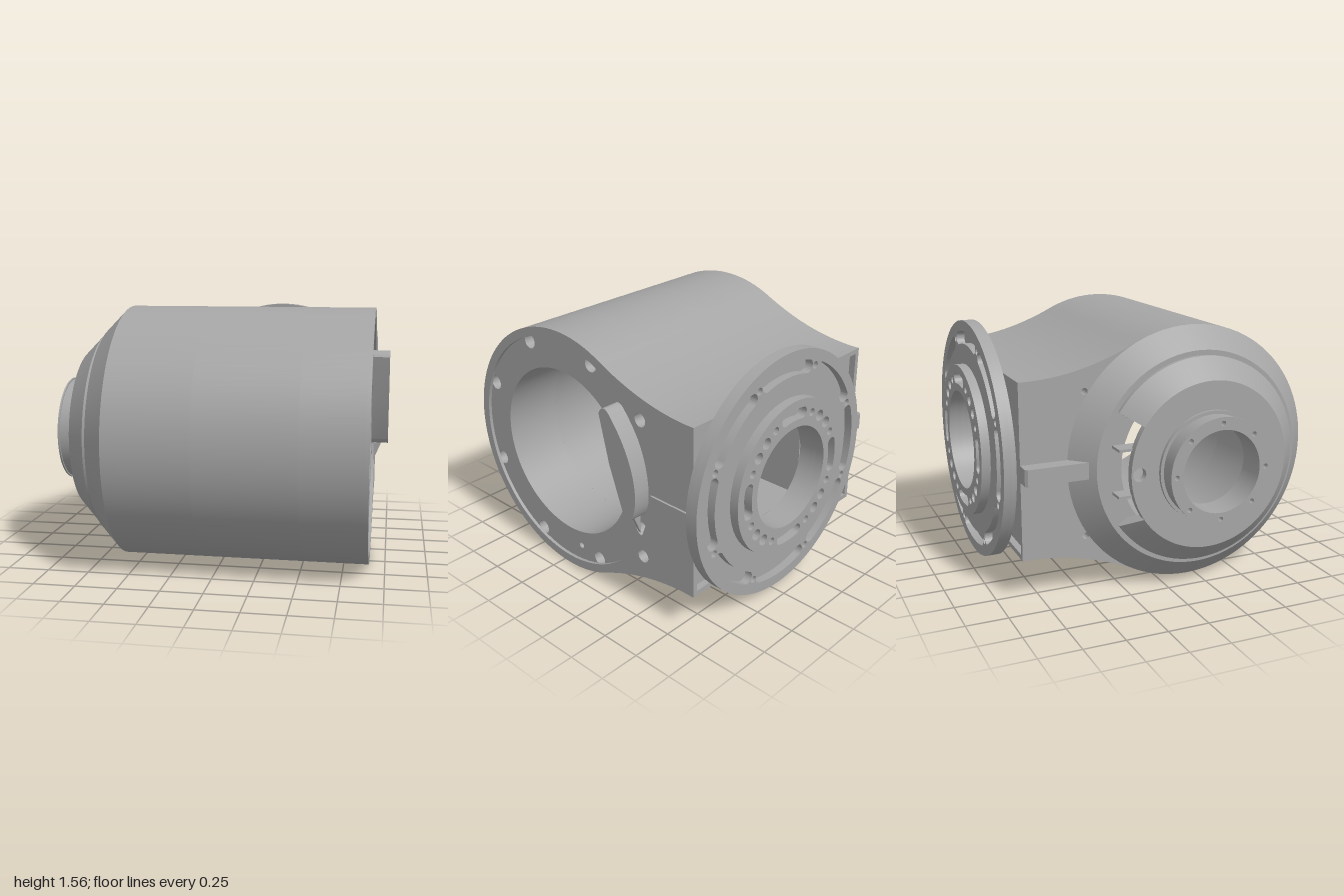
import * as THREE from 'three';
import { toCreasedNormals } from 'three/addons/utils/BufferGeometryUtils.js';

const CY = 0.78, CU = -0.2; // bore axis: height, and u = -z
const TAU = Math.PI * 2;

export function createModel() {
  const model = new THREE.Group();
  model.name = 'jointHousing';
  const metal = new THREE.MeshStandardMaterial({ color: 0xa5a5a5, side: THREE.DoubleSide });
  metal.name = 'castGrey';

  const add = (name, geometry) => {
    const mesh = new THREE.Mesh(toCreasedNormals(geometry, 0.45), metal);
    mesh.name = name;
    model.add(mesh);
    return mesh;
  };
  const circle = (x, y, r) => new THREE.Path().absarc(x, y, r, 0, TAU, false);
  const poly = (pts) => new THREE.Shape(pts.map((p) => new THREE.Vector2(...p)));
  const extrude = (shape, depth) =>
    new THREE.ExtrudeGeometry(shape, { depth, bevelEnabled: false, curveSegments: 40 });
  // Extrude a (u = -z, y) outline along x
  const alongX = (name, shape, x0, x1) =>
    add(name, extrude(shape, x1 - x0).rotateY(Math.PI / 2).translate(x0, 0, 0));
  // Extrude an (x, y) outline along z
  const alongZ = (name, shape, z0, z1, x = 0, y = 0) =>
    add(name, extrude(shape, z1 - z0).translate(x, y, z0));
  const ring = (x, y, outer, inner, holes = []) => {
    const s = new THREE.Shape().absarc(x, y, outer, 0, TAU, false);
    s.holes.push(circle(x, y, inner), ...holes);
    return s;
  };
  const holeCircle = (x, y, R, r, n, offset = 0) =>
    Array.from({ length: n }, (_, i) => {
      const a = offset + (i * TAU) / n;
      return circle(x + R * Math.cos(a), y + R * Math.sin(a), r);
    });
  const arcSlot = (r, w, a0, a1) => new THREE.Path()
    .absarc(0, 0, r + w, a0, a1, false)
    .absarc(r * Math.cos(a1), r * Math.sin(a1), w, a1, a1 + Math.PI, false)
    .absarc(0, 0, r - w, a1, a0, true)
    .absarc(r * Math.cos(a0), r * Math.sin(a0), w, a0 + Math.PI, a0 + TAU, false);

  // Barrel outline flowing into the neck; with a window the bore opens to the back
  const NECK = 0.82, HALF = 0.525, T = 1.108;
  const bodyShape = (boreR, window = 0) => {
    const tu = CU + 0.78 * Math.cos(T), ty = 0.78 * Math.sin(T);
    const s = new THREE.Shape();
    s.moveTo(NECK, CY + HALF);
    s.quadraticCurveTo(0.49, CY + 0.53, tu, CY + ty);
    s.absarc(CU, CY, 0.78, T, TAU - T, false);
    s.quadraticCurveTo(0.49, CY - 0.53, NECK, CY - HALF);
    if (window) {
      const a = Math.asin(window / boreR);
      s.lineTo(NECK, CY - window);
      s.absarc(CU, CY, boreR, -a, a - TAU, true);
      s.lineTo(NECK, CY + window);
    } else s.holes.push(circle(CU, CY, boreR));
    return s;
  };
  const neckHoles = (r) => [circle(0.47, 1.22, r), circle(0.47, 0.35, r)];
  const slit = () => new THREE.Path([[0.54, 0.775], [0.81, 0.775], [0.81, 0.786], [0.54, 0.786]]
    .map((p) => new THREE.Vector2(...p)));

  const inner = bodyShape(0.5);
  inner.holes.push(...neckHoles(0.02));
  alongX('innerBarrel', inner, -0.59, -0.08);
  const middle = bodyShape(0.53, 0.3);
  middle.holes.push(...neckHoles(0.02));
  alongX('windowBarrel', middle, -0.08, 0.52);
  const outer = bodyShape(0.53);
  outer.holes.push(...neckHoles(0.04), slit(), circle(-0.1, 0.16, 0.02),
    ...holeCircle(CU, CY, 0.695, 0.045, 8, Math.PI / 8));
  alongX('outerBarrel', outer, 0.52, 0.885);
  const rim = bodyShape(0.725);
  rim.holes.push(...neckHoles(0.04), slit());
  alongX('barrelRim', rim, 0.885, 0.905);

  // Closed (radius, x) profile turned about the bore axis
  const turn = (name, pts, start = 0, length = TAU) => {
    const place = (g) => g.rotateZ(-Math.PI / 2).translate(0, CY, -CU);
    const profile = [...pts, pts[0]].map((p) => new THREE.Vector2(...p));
    add(name, place(new THREE.LatheGeometry(profile, 80, start, length)));
    if (length < TAU) for (const a of [start, start + length])
      add(name + 'End', place(new THREE.ShapeGeometry(poly(pts)).rotateY(a - Math.PI / 2)));
  };
  turn('barrelChamfer', [[0.65, -0.72], [0.78, -0.59], [0.5, -0.59], [0.5, -0.72]]);
  // Cap wall, left open towards the neck
  const gap = 0.575;
  turn('capWall', [[0.5, -0.865], [0.62, -0.745], [0.62, -0.715], [0.55, -0.715], [0.46, -0.82],
    [0.46, -0.864]], Math.PI + gap, TAU - 2 * gap);

  // Cap floor with counterbored screw holes and a cable hole
  for (const [name, x0, x1, r] of [['capFloor', -0.865, -0.84, 0.02], ['capCounterbores', -0.84, -0.82, 0.043]])
    alongX(name, ring(CU, CY, 0.5, 0.245,
      [...holeCircle(CU, CY, 0.29, r, 8), circle(0.25, CY, 0.04)]), x0, x1);

  // Hub tube
  for (const [name, x0, x1, r] of [['hubCollar', -0.885, -0.865, 0.33], ['hubTube', -0.99, -0.885, 0.31],
    ['hubLip', -1, -0.99, 0.32]])
    alongX(name, ring(CU, CY, r, 0.245, holeCircle(CU, CY, 0.284, 0.015, 8)), x0, x1);

  // Guide ribs in the cap opening
  for (const y of [0.645, 0.92])
    add('guideRib', new THREE.BoxGeometry(0.1, 0.016, 0.2).translate(-0.78, y, -0.26));

  // Neck side rib with a clipped corner
  add('neckRib', extrude(poly([[-0.59, 0.5], [-0.685, 0.48], [-0.685, 0.845], [-0.67, 0.86],
    [-0.59, 0.86]]), 0.1).rotateX(-Math.PI / 2).translate(0, CY - 0.05, 0));

  // Frame around the shallow pocket at the back of the neck
  const rect = (x0, x1, y0, y1) => [[x0, y0], [x1, y0], [x1, y1], [x0, y1]];
  const frame = poly(rect(-0.59, 0.905, CY - HALF, CY + HALF));
  frame.holes.push(poly(rect(-0.56, 0.875, CY - HALF + 0.03, CY + HALF - 0.03)));
  alongZ('neckFrame', frame, -0.86, -0.82);

  // Round mounting flange
  const FX = 0.22, FY = 0.785;
  alongZ('flangeCollar', ring(0, 0, 0.47, 0.31), -0.86, -0.82, FX, FY);
  const screws = () => holeCircle(0, 0, 0.65, 0.022, 8, Math.PI / 8);
  alongZ('flangePlate', ring(0, 0, 0.745, 0.31, screws()), -0.885, -0.86, FX, FY);
  const outerSlots = Array.from({ length: 8 }, (_, i) =>
    arcSlot(0.64, 0.04, (i * TAU) / 8 - 0.29, (i * TAU) / 8 + 0.29));
  alongZ('flangeSlots', ring(0, 0, 0.745, 0.31, [...outerSlots, ...screws()]), -0.935, -0.885, FX, FY);
  const innerCuts = [];
  for (let i = 0; i < 4; i++) {
    const a = (i * TAU) / 4;
    innerCuts.push(arcSlot(0.39, 0.034, a - 0.2, a + 0.2));
    for (let k = 0; k < 4; k++) {
      const b = a + 0.43 + k * 0.236;
      innerCuts.push(circle(0.39 * Math.cos(b), 0.39 * Math.sin(b), k % 3 ? 0.034 : 0.024));
    }
  }
  alongZ('pilotRing', ring(0, 0, 0.475, 0.31, innerCuts), -0.99, -0.935, FX, FY);

  // Cable guard on the open end
  const guard = new THREE.Shape();
  guard.moveTo(0.24, 1.22);
  guard.quadraticCurveTo(0.27, 1.29, 0.32, 1.24);
  guard.quadraticCurveTo(0.5, 1.03, 0.51, 0.8);
  guard.quadraticCurveTo(0.51, 0.7, 0.475, 0.64);
  guard.quadraticCurveTo(0.44, 0.59, 0.41, 0.65);
  guard.lineTo(0.31, 0.93);
  guard.closePath();
  alongX('cableGuard', guard, 0.88, 0.995);
  alongZ('guardFoot', poly([[0.9, 0.5], [0.95, 0.62], [0.9, 0.62]]), -0.45, -0.43);

  return model;
}
